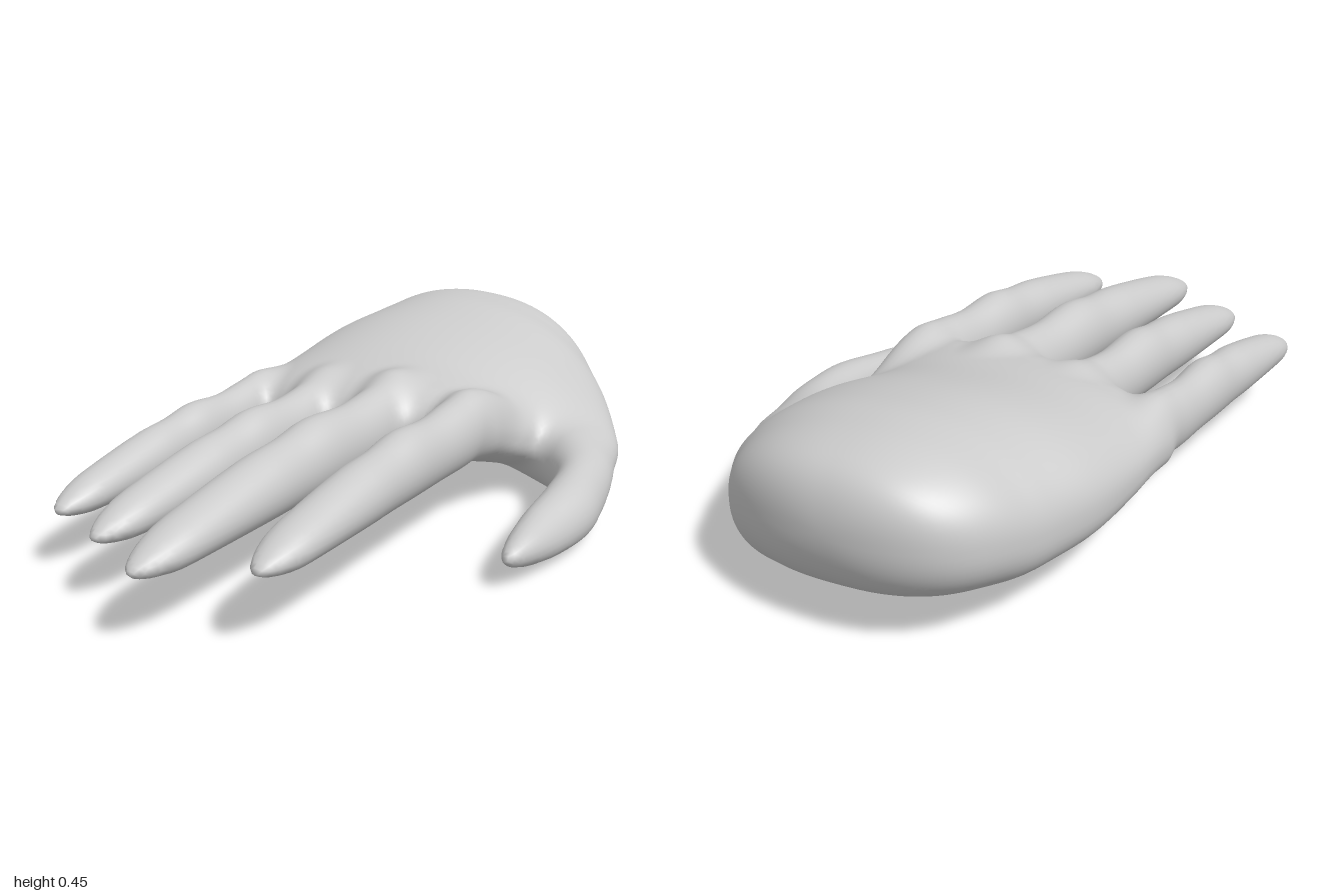
import * as THREE from 'three';

// Each part is a chain of cross-sections along z:
// [z, centre x, centre y, half width, half height, tilt, arch]
// Before `from` and after `to` it closes in rounded caps of length `back` and `front`.
// `power` 2 gives elliptical sections, more makes them boxier.
const palm = {
  name: 'palm', power: 2.4, from: -0.65, back: 0.35, to: -0.12, front: 0.14,
  sections: [
    [-1, -0.19, 0.27, 0.46, 0.29, 0.03, 0.03],
    [-0.9, -0.155, 0.255, 0.437, 0.236, 0.04, 0.05],
    [-0.8, -0.13, 0.245, 0.425, 0.21, 0.05, 0.06],
    [-0.7, -0.108, 0.238, 0.435, 0.2, 0.05, 0.07],
    [-0.5, -0.105, 0.23, 0.47, 0.182, 0.05, 0.07],
    [-0.3, -0.145, 0.233, 0.427, 0.142, 0.02, 0.05],
    [-0.18, -0.15, 0.233, 0.41, 0.126, 0, 0.03],
    [-0.08, -0.15, 0.232, 0.4, 0.112, -0.02, 0.02],
    [0.02, -0.15, 0.235, 0.39, 0.1, -0.02, 0.02],
  ],
};

const thumb = {
  name: 'thumb', power: 2, from: -0.62, back: 0.24, to: 0.18, front: 0.12,
  sections: [
    [-0.85, 0.08, 0.15, 0.13, 0.1, 0, 0],
    [-0.65, 0.195, 0.133, 0.165, 0.103, 0, 0],
    [-0.5, 0.272, 0.115, 0.18, 0.103, 0, 0],
    [-0.38, 0.345, 0.106, 0.146, 0.096, 0, 0],
    [-0.28, 0.425, 0.1, 0.1, 0.086, 0, 0],
    [-0.18, 0.475, 0.096, 0.074, 0.081, 0.01, 0],
    [-0.05, 0.499, 0.087, 0.073, 0.077, 0.01, 0],
    [0.1, 0.5, 0.079, 0.06, 0.062, 0.01, 0],
    [0.22, 0.5, 0.076, 0.045, 0.045, 0, 0],
    [0.3, 0.5, 0.075, 0.036, 0.036, 0, 0],
  ],
};

// Fingers share one profile: flat underside, knuckle swellings, drooping tip
function finger(name, x, tipX, tipZ, width, low, high, knuckle) {
  const profile = [ // [fraction of length, width factor, height factor]
    [0, 0.97, 1.0], [0.14, 0.93, 0.93], [0.3, 1, 0.97], [0.42, 0.96, 0.88],
    [0.55, 1, 0.82], [0.8, 0.9, 0.6], [0.93, 0.78, 0.45], [1, 0.7, 0.36],
  ];
  const h = high - low, mid = (low + high) / 2;
  const sections = profile.map(([t, w, k]) =>
    [t * tipZ, x + (tipX - x) * t, low + (k * h) / 2, width * w, (k * h) / 2, 0, 0]);
  // knuckle buried in the back of the hand
  sections.unshift(
    [-0.3, x, mid - 0.015, width * 0.8, h * 0.3, 0, 0],
    [-0.1, x, mid + knuckle, width * 0.95, h / 2, 0, 0]);
  return { name, power: 2, from: -0.12, back: 0.2, to: tipZ * 0.85, front: tipZ * 0.15 + 0.008, sections };
}

const parts = [
  palm, thumb,
  finger('indexFinger', 0.187, 0.195, 0.87, 0.075, 0.16, 0.345, 0.008),
  finger('middleFinger', -0.045, -0.043, 1.0, 0.081, 0.148, 0.35, 0.02),
  finger('ringFinger', -0.267, -0.267, 0.87, 0.073, 0.138, 0.325, 0.016),
  finger('littleFinger', -0.487, -0.483, 0.765, 0.065, 0.128, 0.3, 0.01),
];

// Smooth (Hermite) interpolation between the sections at a given z
function sectionAt(s, z) {
  const n = s.length - 1;
  if (z <= s[0][0]) return s[0];
  if (z >= s[n][0]) return s[n];
  let i = 0;
  while (z > s[i + 1][0]) i++;
  const a = s[i], b = s[i + 1], p = s[Math.max(i - 1, 0)], q = s[Math.min(i + 2, n)];
  const d = b[0] - a[0], t = (z - a[0]) / d, t2 = t * t, t3 = t2 * t;
  return a.map((v, k) => {
    const m0 = ((b[k] - p[k]) / (b[0] - p[0])) * d, m1 = ((q[k] - a[k]) / (q[0] - a[0])) * d;
    return (2 * t3 - 3 * t2 + 1) * v + (t3 - 2 * t2 + t) * m0 + (3 * t2 - 2 * t3) * b[k] + (t3 - t2) * m1;
  });
}

// Approximate signed distance to one part
function partDistance(part, x, y, z) {
  const { power, from, back, to, front } = part;
  const [, cx, cy, rx, ry, tilt, arch] = sectionAt(part.sections, z);
  const u = THREE.MathUtils.clamp((x - cx) / rx, -1.2, 1.2);
  const px = Math.abs(x - cx) / rx, py = Math.abs(y - (cy - tilt * u - arch * u * u)) / ry;
  const pz = z < from ? (from - z) / back : Math.max(z - to, 0) / front;
  const ring = Math.max((px ** power + py ** power) ** (1 / power), 1e-6);
  const k = Math.hypot(ring, pz);
  const slope = Math.hypot(
    (ring / k) * (px / ring) ** (power - 1) / rx,
    (ring / k) * (py / ring) ** (power - 1) / ry,
    pz / k / (z < from ? back : front));
  return slope < 1e-6 ? -Math.min(rx, ry) : (k - 1) / slope;
}

// Blend the parts into one skin with soft webs
function skin(x, y, z) {
  let d = partDistance(parts[0], x, y, z);
  for (let i = 1; i < parts.length; i++) {
    const e = partDistance(parts[i], x, y, z), k = i === 1 ? 0.075 : 0.045;
    const h = Math.max(k - Math.abs(d - e), 0) / k;
    d = Math.min(d, e) - (h * h * k) / 4;
  }
  return d;
}

function gradient(x, y, z) {
  const e = 0.005;
  return new THREE.Vector3(
    skin(x + e, y, z) - skin(x - e, y, z),
    skin(x, y + e, z) - skin(x, y - e, z),
    skin(x, y, z + e) - skin(x, y, z - e)).divideScalar(2 * e);
}

export function createModel() {
  // Sample the skin on a grid
  const step = 0.0165, origin = [-0.66, -0.06, -1.06];
  const size = [81, 36, 130], stride = [1, size[0], size[0] * size[1]];
  const values = new Float32Array(size[0] * size[1] * size[2]);
  const at = (i, a) => origin[a] + i * step;
  const eachCell = (margin, visit) => {
    for (let k = margin; k < size[2] - margin; k++)
      for (let j = margin; j < size[1] - margin; j++)
        for (let i = margin; i < size[0] - margin; i++)
          visit(i, j, k, i + j * stride[1] + k * stride[2]);
  };
  eachCell(0, (i, j, k, id) => { values[id] = skin(at(i, 0), at(j, 1), at(k, 2)); });

  // One vertex per crossed cell, pulled onto the skin
  const positions = [], normals = [], owner = [], vertexOf = new Map();
  const vertex = (id) => {
    if (vertexOf.has(id)) return vertexOf.get(id);
    const cell = [id % size[0], Math.floor(id / stride[1]) % size[1], Math.floor(id / stride[2])];
    const p = new THREE.Vector3();
    let count = 0;
    for (let c = 0; c < 8; c++) for (let a = 0; a < 3; a++) {
      if ((c >> a) & 1) continue;
      const o = [c & 1, (c >> 1) & 1, (c >> 2) & 1];
      const v = id + o[0] + o[1] * stride[1] + o[2] * stride[2];
      const f = values[v], g = values[v + stride[a]];
      if ((f < 0) === (g < 0)) continue;
      o[a] += f / (f - g);
      p.add(new THREE.Vector3(...o.map((w, n) => at(cell[n] + w, n))));
      count++;
    }
    p.divideScalar(count);
    const n = gradient(p.x, p.y, p.z);
    const shift = -skin(p.x, p.y, p.z) / Math.max(n.lengthSq(), 0.5);
    p.addScaledVector(n, THREE.MathUtils.clamp(shift, -step / 3, step / 3));
    n.copy(gradient(p.x, p.y, p.z)).normalize();
    const distances = parts.map((part) => partDistance(part, p.x, p.y, p.z));
    owner.push(distances.indexOf(Math.min(...distances)));
    positions.push(p.x, p.y, p.z);
    normals.push(n.x, n.y, n.z);
    vertexOf.set(id, owner.length - 1);
    return owner.length - 1;
  };

  // One quad per crossed grid edge, handed to the part it lies on
  const faces = parts.map(() => []);
  eachCell(1, (i, j, k, id) => {
    for (let a = 0; a < 3; a++) {
      const inside = values[id] < 0;
      if (inside === values[id + stride[a]] < 0) continue;
      const b = stride[(a + 1) % 3], c = stride[(a + 2) % 3];
      const q = [id - b - c, id - c, id, id - b].map(vertex);
      if (!inside) q.reverse();
      faces[owner[q[0]]].push(q[0], q[1], q[2], q[0], q[2], q[3]);
    }
  });

  const hand = new THREE.Group();
  hand.name = 'hand';
  const material = new THREE.MeshStandardMaterial({ color: 0xcccccc });
  const position = new THREE.Float32BufferAttribute(positions, 3);
  const normal = new THREE.Float32BufferAttribute(normals, 3);
  parts.forEach((part, i) => {
    const geometry = new THREE.BufferGeometry();
    geometry.setAttribute('position', position);
    geometry.setAttribute('normal', normal);
    geometry.setIndex(faces[i]);
    const mesh = new THREE.Mesh(geometry, material);
    mesh.name = part.name;
    hand.add(mesh);
  });

  // Rest the hand on the ground
  hand.position.y = -new THREE.Box3().setFromBufferAttribute(position).min.y;
  return hand;
}
